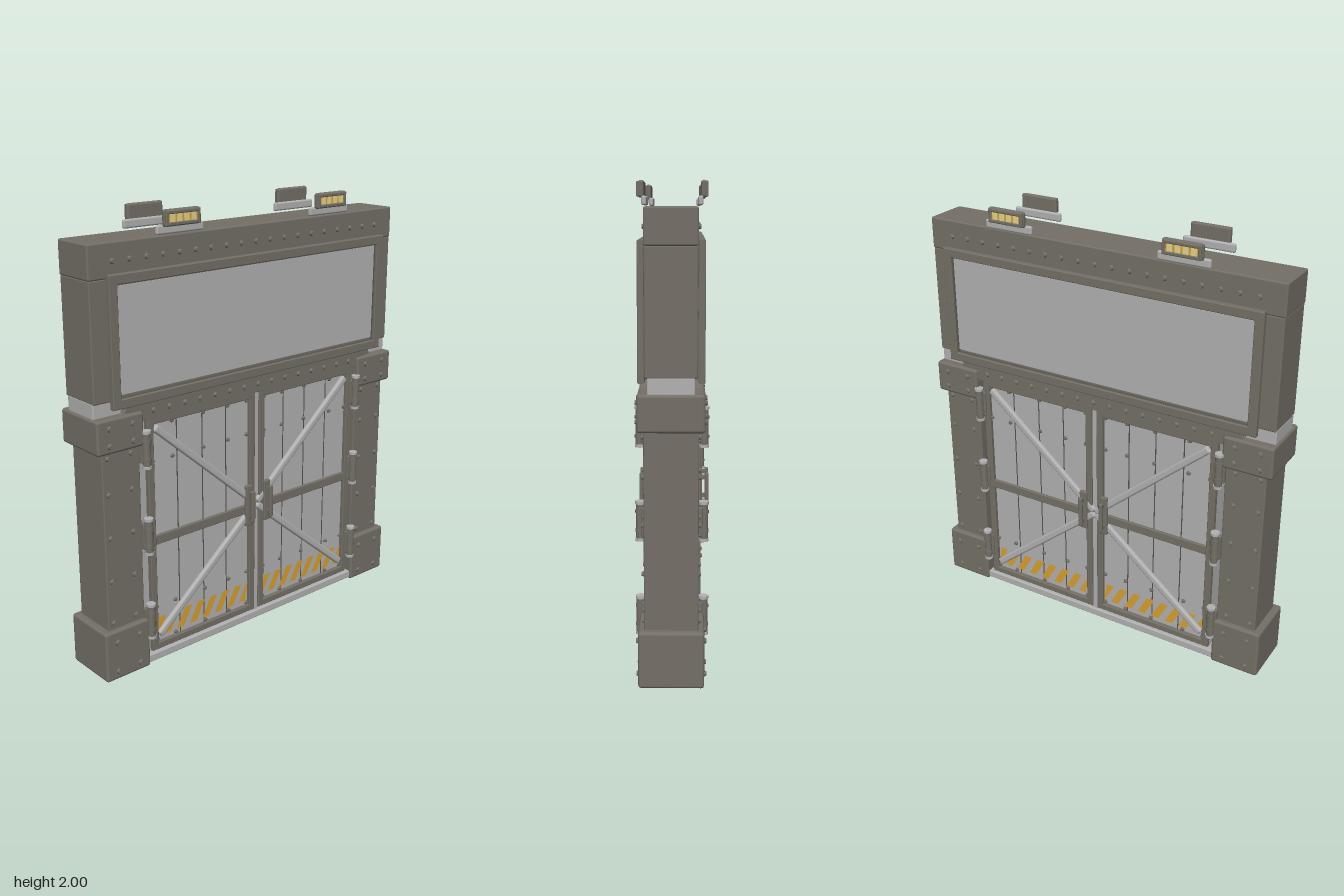
import * as THREE from 'three';
import { RoundedBoxGeometry } from 'three/addons/geometries/RoundedBoxGeometry.js';

const mat = (name, color) => {
  const m = new THREE.MeshStandardMaterial({ color });
  m.name = name;
  return m;
};

export function createModel() {
  const dark = mat('dark steel', 0x747067);
  const light = mat('light steel', 0xb2b2b3);
  const orange = mat('hazard orange', 0xd9a030);
  const lens = mat('lamp yellow', 0xe6d48c);
  const seam = mat('seam grey', 0x55534e);

  const add = (parent, name, geo, m) => {
    const mesh = new THREE.Mesh(geo, m);
    mesh.name = name;
    parent.add(mesh);
    return mesh;
  };
  // Box given by its limits; r > 0 softens the edges
  const box = (parent, name, m, [x0, x1], [y0, y1], [z0, z1], r = 0) => {
    const s = [x1 - x0, y1 - y0, z1 - z0];
    const geo = r ? new RoundedBoxGeometry(...s, 2, r) : new THREE.BoxGeometry(...s);
    const mesh = add(parent, name, geo, m);
    mesh.position.set((x0 + x1) / 2, (y0 + y1) / 2, (z0 + z1) / 2);
    return mesh;
  };
  const mirrorX = (s, a, b) => (s > 0 ? [a, b] : [-b, -a]);
  const rivetGeo = new THREE.CylinderGeometry(0.008, 0.013, 0.012, 10).rotateX(Math.PI / 2);
  const rivet = (parent, x, y, z, k = 1) => {
    const m = add(parent, 'rivet', rivetGeo, dark);
    m.position.set(x, y, z);
    m.scale.set(k, k, 1);
  };
  // Flat frame with a rectangular opening
  const frame = (parent, name, m, [x0, x1], [y0, y1], [z0, z1], b) => {
    const rect = (P, d) => new P([
      new THREE.Vector2(x0 + d, y0 + d), new THREE.Vector2(x1 - d, y0 + d),
      new THREE.Vector2(x1 - d, y1 - d), new THREE.Vector2(x0 + d, y1 - d)]);
    const shape = rect(THREE.Shape, 0.003);
    shape.holes.push(rect(THREE.Path, b));
    const geo = new THREE.ExtrudeGeometry(shape, {
      depth: z1 - z0 - 0.003, bevelSize: 0.003, bevelThickness: 0.003, bevelSegments: 1 });
    add(parent, name, geo, m).position.z = z0;
  };

  const root = new THREE.Group();
  root.name = 'industrialGate';

  // Structure running through the full depth
  const core = new THREE.Group();
  core.name = 'structure';
  root.add(core);
  box(core, 'headerTop', dark, [-0.865, 0.865], [1.75, 1.895], [-0.104, 0.104], 0.008);
  box(core, 'headerBody', dark, [-0.862, 0.862], [1.25, 1.752], [-0.102, 0.102], 0.006);
  box(core, 'neck', light, [-0.862, 0.862], [1.185, 1.255], [-0.092, 0.092], 0.006);
  box(core, 'lintel', dark, [-0.64, 0.64], [1.14, 1.22], [-0.118, 0.118], 0.006);
  box(core, 'sill', light, [-0.645, 0.645], [0.008, 0.045], [-0.122, 0.122], 0.005);
  for (const s of [-1, 1]) {
    box(core, 'post', dark, mirrorX(s, 0.65, 0.84), [0.2, 1.06], [-0.108, 0.108], 0.006);
    box(core, 'postCap', dark, mirrorX(s, 0.64, 0.872), [1.04, 1.19], [-0.132, 0.132], 0.012);
    box(core, 'postFoot', dark, mirrorX(s, 0.64, 0.872), [0, 0.235], [-0.132, 0.132], 0.012);
    box(core, 'doorLeaf', light, mirrorX(s, 0.012, 0.612), [0.045, 1.15], [-0.1, 0.1]);
  }
  box(core, 'centreStrip', light, [-0.013, 0.013], [0.045, 1.15], [-0.108, 0.108]);

  // One face of the gate, used on both sides
  const buildFace = () => {
    const f = new THREE.Group();
    f.name = 'gateFace';

    // Sign panel
    box(f, 'panelBacking', dark, [-0.77, 0.77], [1.235, 1.75], [0.098, 0.112]);
    frame(f, 'panelFrame', dark, [-0.787, 0.787], [1.22, 1.77], [0.108, 0.132], 0.038);
    frame(f, 'panelInnerFrame', seam, [-0.757, 0.757], [1.25, 1.742], [0.11, 0.12], 0.012);
    box(f, 'panelSurface', light, [-0.748, 0.748], [1.275, 1.722], [0.108, 0.116]);
    for (let i = 0; i < 19; i++) rivet(f, -0.75 + i * 0.0833, 1.82, 0.108);

    // Lintel flange with tapered ends
    const flange = new THREE.Shape([[-0.64, 1.145], [0.64, 1.145], [0.64, 1.19], [0.73, 1.195],
      [0.715, 1.222], [-0.715, 1.222], [-0.73, 1.195], [-0.64, 1.19]]
      .map(p => new THREE.Vector2(...p)));
    add(f, 'lintelFlange', new THREE.ExtrudeGeometry(flange, { depth: 0.03, bevelEnabled: false }), dark)
      .position.z = 0.092;
    for (let i = 0; i < 15; i++) rivet(f, -0.583 + i * 0.0833, 1.182, 0.126);

    for (const s of [-1, 1]) {
      // Post rivets
      for (const x of [0.695, 0.812]) {
        for (const y of [1.15, 1.075, 0.18, 0.04]) rivet(f, s * x, y, 0.135, 1.1);
        for (const y of [1.015, 0.855, 0.66, 0.46, 0.265]) rivet(f, s * x, y, 0.112);
      }

      // Door frame, rail and plank seams
      frame(f, 'doorFrame', dark, mirrorX(s, 0.013, 0.614), [0.055, 1.148], [0.095, 0.118], 0.029);
      box(f, 'doorRail', dark, mirrorX(s, 0.04, 0.6), [0.562, 0.605], [0.098, 0.114], 0.004);
      for (const x of [0.175, 0.31, 0.45])
        box(f, 'plankSeam', seam, mirrorX(s, x - 0.0025, x + 0.0025), [0.08, 1.12], [0.098, 0.1012]);
      for (const y of [1.108, 0.948, 0.26, 0.097])
        for (const x of [0.052, 0.165, 0.305, 0.475, 0.58]) rivet(f, s * x, y, 0.104, 0.85);

      // Diagonal braces
      for (const [y0, y1] of [[1.1, 0.605], [0.12, 0.595]]) {
        const dx = 0.57, dy = y1 - y0;
        const brace = add(f, 'brace',
          new RoundedBoxGeometry(Math.hypot(dx, dy), 0.036, 0.026, 2, 0.011), light);
        brace.position.set(s * 0.288, (y0 + y1) / 2, 0.108);
        brace.rotation.z = Math.atan2(-s * dy, dx);
      }

      // Hazard stripes
      const [a, b] = mirrorX(s, 0.045, 0.583);
      const clampX = x => Math.min(b, Math.max(a, x));
      for (let i = 0; i < 8; i++) {
        const x = a - 0.035 + i * 0.074, w = 0.04, lean = 0.05;
        const pts = [[x, 0.11], [x + w, 0.11], [x + w + lean, 0.203], [x + lean, 0.203]];
        const shape = new THREE.Shape(pts.map(p => new THREE.Vector2(clampX(p[0]), p[1])));
        add(f, 'hazardStripe', new THREE.ShapeGeometry(shape), orange).position.z = 0.103;
      }

      // Pull handle
      box(f, 'handlePlate', dark, mirrorX(s, 0.036, 0.074), [0.505, 0.705], [0.11, 0.13], 0.005);
      box(f, 'handleGrip', dark, mirrorX(s, 0.045, 0.065), [0.53, 0.685], [0.143, 0.16], 0.006);
      for (const y of [0.55, 0.665])
        box(f, 'handleMount', dark, mirrorX(s, 0.048, 0.062), [y - 0.01, y + 0.01], [0.125, 0.15]);

      // Hinges
      for (const y of [1.02, 0.625, 0.22]) {
        const barrel = add(f, 'hingeBarrel', new THREE.CylinderGeometry(0.018, 0.018, 0.15, 14), dark);
        barrel.position.set(s * 0.63, y, 0.13);
        for (const d of [-0.078, -0.04, 0.04, 0.078]) {
          const ring = add(f, 'hingeRing', new THREE.CylinderGeometry(0.021, 0.021, 0.012, 14),
            Math.abs(d) > 0.05 ? light : dark);
          ring.position.set(s * 0.63, y + d, 0.13);
        }
        box(f, 'hingeLeaf', dark, mirrorX(s, 0.6, 0.655), [y - 0.06, y + 0.06], [0.1, 0.126], 0.004);
      }

      // Warning lamp on its bracket
      const c = s * 0.424;
      box(f, 'lampBracket', light, [c - 0.12, c + 0.12], [1.9, 1.938], [0.104, 0.124], 0.008);
      box(f, 'lampHousing', dark, [c - 0.092, c + 0.092], [1.93, 2], [0.115, 0.138], 0.01);
      frame(f, 'lampRim', dark, [c - 0.088, c + 0.088], [1.934, 1.996], [0.134, 0.145], 0.012);
      box(f, 'lampGlow', orange, [c - 0.076, c + 0.076], [1.945, 1.985], [0.134, 0.1395]);
      for (let i = 0; i < 4; i++) {
        const x = c - 0.054 + i * 0.036;
        box(f, 'lampLens', lens, [x - 0.013, x + 0.013], [1.947, 1.983], [0.136, 0.142]);
      }
    }
    return f;
  };
  const front = buildFace();
  const back = buildFace();
  back.rotation.y = Math.PI;
  root.add(front, back);
  return root;
}
